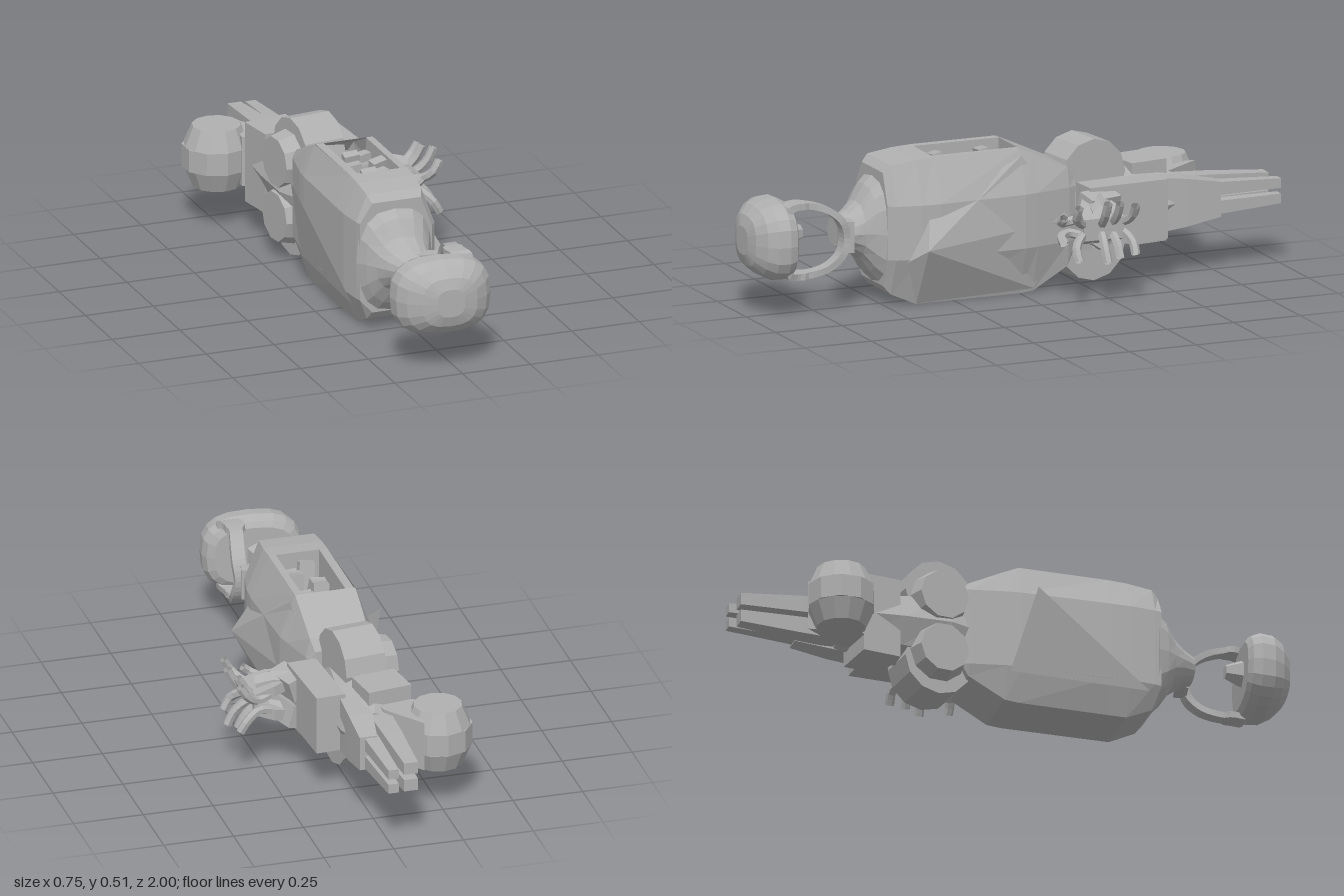
import * as THREE from 'three';

const MID = 0.257; // mirror height of the reclining figure

export function createModel() {
  const root = new THREE.Group();
  const grey = new THREE.MeshStandardMaterial({ color: 0xb0b0b0, flatShading: true, side: THREE.DoubleSide });
  grey.name = 'plainGrey';

  const add = (name, geo, pos = [0, 0, 0], rot = [0, 0, 0]) => {
    const m = new THREE.Mesh(geo, grey);
    m.name = name;
    m.position.set(...pos);
    m.rotation.set(...rot);
    root.add(m);
    return m;
  };
  const box = (name, x0, x1, y0, y1, z0, z1, rot) =>
    add(name, new THREE.BoxGeometry(x1 - x0, y1 - y0, z1 - z0), [(x0 + x1) / 2, (y0 + y1) / 2, (z0 + z1) / 2], rot);
  const faces = (name, tris) => {
    const g = new THREE.BufferGeometry();
    g.setAttribute('position', new THREE.Float32BufferAttribute(tris.flat(2), 3));
    g.computeVertexNormals();
    return add(name, g);
  };
  // Skin between rings of points, with end caps; skip(i, j) leaves a face open
  const loft = (name, rings, skip = () => false) => {
    const t = [];
    const n = rings[0].length;
    for (let i = 0; i < rings.length - 1; i++) {
      for (let j = 0; j < n; j++) {
        if (skip(i, j)) continue;
        const k = (j + 1) % n;
        const [a, b, c, d] = [rings[i][j], rings[i][k], rings[i + 1][k], rings[i + 1][j]];
        t.push([a, d, b], [b, d, c]);
      }
    }
    const last = rings[rings.length - 1];
    for (let j = 1; j < n - 1; j++) {
      t.push([rings[0][0], rings[0][j], rings[0][j + 1]], [last[0], last[j + 1], last[j]]);
    }
    return faces(name, t);
  };
  // Oval ring; e below 1 squares it off, tilt leans it along z
  const oval = (x, y, z, rx, ry, n = 12, e = 1, tilt = 0) => Array.from({ length: n }, (_, i) => {
    const a = Math.PI / 2 - (i / n) * Math.PI * 2;
    const sq = (v) => Math.sign(v) * Math.abs(v) ** e;
    const dx = sq(Math.cos(a)) * rx;
    return [x + dx, y + sq(Math.sin(a)) * ry, z + dx * tilt];
  });
  const tube = (name, pts, r, seg = 8) => add(name, new THREE.TubeGeometry(
    new THREE.CatmullRomCurve3(pts.map((p) => new THREE.Vector3(...p))), seg, r, 6));

  // Torso shell, open on top
  const section = ([z, top, x0, x1, s0, s1, bot]) => [
    [x0, top, z], [x1, top, z], [s1, 0.36, z], [s1, 0.17, z],
    [x1, bot, z], [x0, bot, z], [s0, 0.12, z], [s0, 0.4, z]];
  loft('torsoShell', [
    [0.505, 0.47, -0.14, 0.04, -0.185, 0.08, 0.07],
    [0.48, 0.495, -0.15, 0.05, -0.19, 0.1, 0.04],
    [0.39, 0.508, -0.15, 0.06, -0.2, 0.12, 0.0],
    [0.32, 0.512, -0.15, 0.06, -0.2, 0.125, 0.0],
    [0.0, 0.512, -0.155, 0.06, -0.195, 0.115, 0.0],
    [-0.05, 0.49, -0.155, 0.06, -0.19, 0.105, 0.005],
    [-0.18, 0.43, -0.15, 0.06, -0.165, 0.075, 0.08],
    [-0.21, 0.39, -0.14, 0.05, -0.15, 0.06, 0.14],
  ].map(section), (i, j) => i === 3 && j === 0);
  box('openingRimRight', -0.15, -0.12, 0.4, 0.512, 0.0, 0.32);
  box('openingRimLeft', 0.035, 0.06, 0.4, 0.512, 0.0, 0.32);
  box('cavityFloor', -0.13, 0.05, 0.38, 0.4, 0.0, 0.32);
  for (let i = 0; i < 10; i++) {
    const x = -0.105 + (i % 2) * 0.065 + (i % 3) * 0.012;
    box('innerPart', x, x + 0.055, 0.39, 0.46 + (i % 3) * 0.02, 0.01 + i * 0.029, 0.045 + i * 0.029,
      [0.2 * (i % 3 - 1), 0.25 * (i % 2), 0.1]);
  }

  // Pointed side panels
  const tip = [0.174, 0.21, 0.39];
  const base = [[0.075, 0.49, 0.0], [0.08, 0.25, -0.18], [0.065, 0.015, -0.05], [0.065, 0.003, 0.39], [0.105, 0.16, 0.44], [0.11, 0.33, 0.36]];
  faces('leftSidePoint', base.map((p, i) => [tip, base[(i + 1) % base.length], p]));
  faces('rightSidePlate', [[[-0.258, 0.4, 0.04], [-0.19, 0.1, -0.04], [-0.195, 0.09, 0.46]]]);

  // Neck
  loft('neck', [
    oval(-0.035, 0.26, 0.655, 0.06, 0.05, 16), oval(-0.04, 0.26, 0.61, 0.085, 0.07, 16),
    oval(-0.05, 0.26, 0.57, 0.1, 0.1, 16, 0.9), oval(-0.055, 0.26, 0.535, 0.12, 0.155, 16, 0.8),
    oval(-0.055, 0.255, 0.495, 0.14, 0.195, 16, 0.75)]);
  box('neckBridge', -0.02, 0.065, 0.205, 0.315, 0.615, 0.66, [0, -0.2, 0]);

  // Squared-off head with a flat face
  loft('head', [
    [0.832, 0.14, 0.105], [0.845, 0.165, 0.125], [0.875, 0.175, 0.139], [0.92, 0.17, 0.136],
    [0.955, 0.145, 0.118], [0.985, 0.1, 0.088], [0.998, 0.05, 0.05],
  ].map(([z, rx, ry], i) => oval(-0.04, 0.262, z, rx, ry, 20, 0.72, 0.1 - i * 0.012)).reverse());
  add('nose', new THREE.CylinderGeometry(0.025, 0.055, 0.07, 6), [-0.06, 0.265, 0.805], [-Math.PI / 2, 0, 0]);

  // Broad ribbon from the neck round to the side of the head
  const arch = (inset) => new THREE.CatmullRomCurve3([
    [0.06, 0.262, 0.645], [0.065, 0.325, 0.662], [0.058, 0.37, 0.71], [0.045, 0.392, 0.77], [0.035, 0.397, 0.83],
    [0.05, 0.385, 0.88], [0.05, 0.139, 0.88], [0.035, 0.127, 0.83], [0.045, 0.132, 0.77], [0.058, 0.154, 0.71], [0.065, 0.199, 0.662],
  ].map(([x, y, z]) => new THREE.Vector3(x, 0.262 + (y - 0.262) * (1 - inset), 0.79 + (z - 0.79) * (1 - inset))), true);
  const [outer, inner] = [arch(0).getPoints(36), arch(0.17).getPoints(36)];
  loft('faceRibbon', outer.map((o, i) => {
    const q = inner[i];
    const w = o.z > 0.8 ? 0.035 : 0.024;
    return [[o.x - w, o.y, o.z], [o.x + w, o.y, o.z], [q.x + w, q.y, q.z], [q.x - w, q.y, q.z]];
  }));

  // Pelvis block and hips
  loft('pelvis', [
    oval(-0.06, MID, -0.17, 0.1, 0.13, 8), oval(-0.07, MID, -0.25, 0.12, 0.15, 8),
    oval(-0.06, MID, -0.42, 0.13, 0.13, 8), oval(-0.06, MID, -0.56, 0.12, 0.11, 8),
    oval(-0.04, MID, -0.63, 0.08, 0.085, 8)]);
  box('hipPlate', -0.18, -0.02, 0.11, 0.4, -0.58, -0.44, [0, 0.15, 0]);
  box('leftHipBlock', 0.04, 0.145, 0.16, 0.37, -0.52, -0.22, [0, 0.06, 0]);
  // Wedge joining the rear drum to the pelvis
  loft('rearWedge', [0.165, 0.345].map((y) => [[-0.18, y, -0.765], [-0.075, y, -0.62], [-0.06, y, -0.54], [-0.2, y, -0.57]]));

  for (const s of [-1, 1]) {
    const y = (d) => MID + s * d;
    add('hipDrum', new THREE.CylinderGeometry(0.125, 0.125, 0.15, 12), [-0.06, y(0.125), -0.29], [0, 0.12, Math.PI / 2]);
    add('hipDrumCap', new THREE.CylinderGeometry(0.09, 0.105, 0.06, 10), [-0.165, y(0.1), -0.28], [0, 0.12, Math.PI / 2]);

    // Forearm, palm and fanned fingers
    tube('forearm', [[0.05, y(0.06), -0.36], [0.13, y(0.06), -0.28], [0.2, y(0.055), -0.235], [0.265, y(0.04), -0.22]], 0.038);
    box('wristCuff', 0.12, 0.19, y(0.055) - 0.04, y(0.055) + 0.04, -0.32, -0.19, [0, 0.3, s * -0.3]);
    loft('palm', [
      [0.16, 0.06, 0.045, -0.235], [0.22, 0.045, 0.07, -0.225], [0.29, 0.018, 0.075, -0.215],
    ].map(([x, d, w, z]) => [[x, y(d - 0.02), z - w], [x, y(d + 0.02), z - w], [x, y(d + 0.02), z + w], [x, y(d - 0.02), z + w]]));
    [[0.357, -0.31], [0.35, -0.255], [0.372, -0.2], [0.355, -0.1], [0.28, -0.075]].forEach(([x, z], i) => {
      const rootZ = -0.28 + i * 0.032;
      const rise = i === 4 ? 0.045 : 0.105 - Math.abs(i - 2) * 0.01;
      tube('finger', [[0.23, y(0.03), rootZ], [x * 0.78, y(0.02), rootZ * 0.5 + z * 0.5],
        [x - 0.035, y(rise * 0.55), z], [x - 0.01, y(rise), z]], 0.016);
    });

    // Tapering lower legs
    const bar = (name, xa, xb, w, z0, z1, h, d) => {
      const ring = (x, z, k) => [[x - w * k, y(d), z], [x + w * k, y(d), z], [x + w * k, y(d + h * k), z], [x - w * k, y(d + h * k), z]];
      loft(name, [ring(xa, z0, 1), ring((xa + xb) / 2, (z0 + z1) / 2, 0.85), ring(xb, z1, 0.62)]);
    };
    bar('shin', -0.06, -0.068, 0.04, -0.55, -0.98, 0.07, 0.01);
    bar('calf', 0.015, 0.0, 0.03, -0.52, -1.0, 0.055, 0.01);
    bar('shinGuard', 0.0, 0.02, 0.05, -0.5, -0.76, 0.1, 0.0);

    // Outer discs of the rear drum
    add('rearDrumSide', new THREE.CylinderGeometry(s > 0 ? 0.085 : 0.115, s > 0 ? 0.115 : 0.085, 0.07, 12),
      [-0.255, y(0.075), -0.67]);
  }
  add('rearDrumCore', new THREE.CylinderGeometry(0.117, 0.117, 0.08, 10), [-0.258, MID, -0.67]);
  return root;
}
